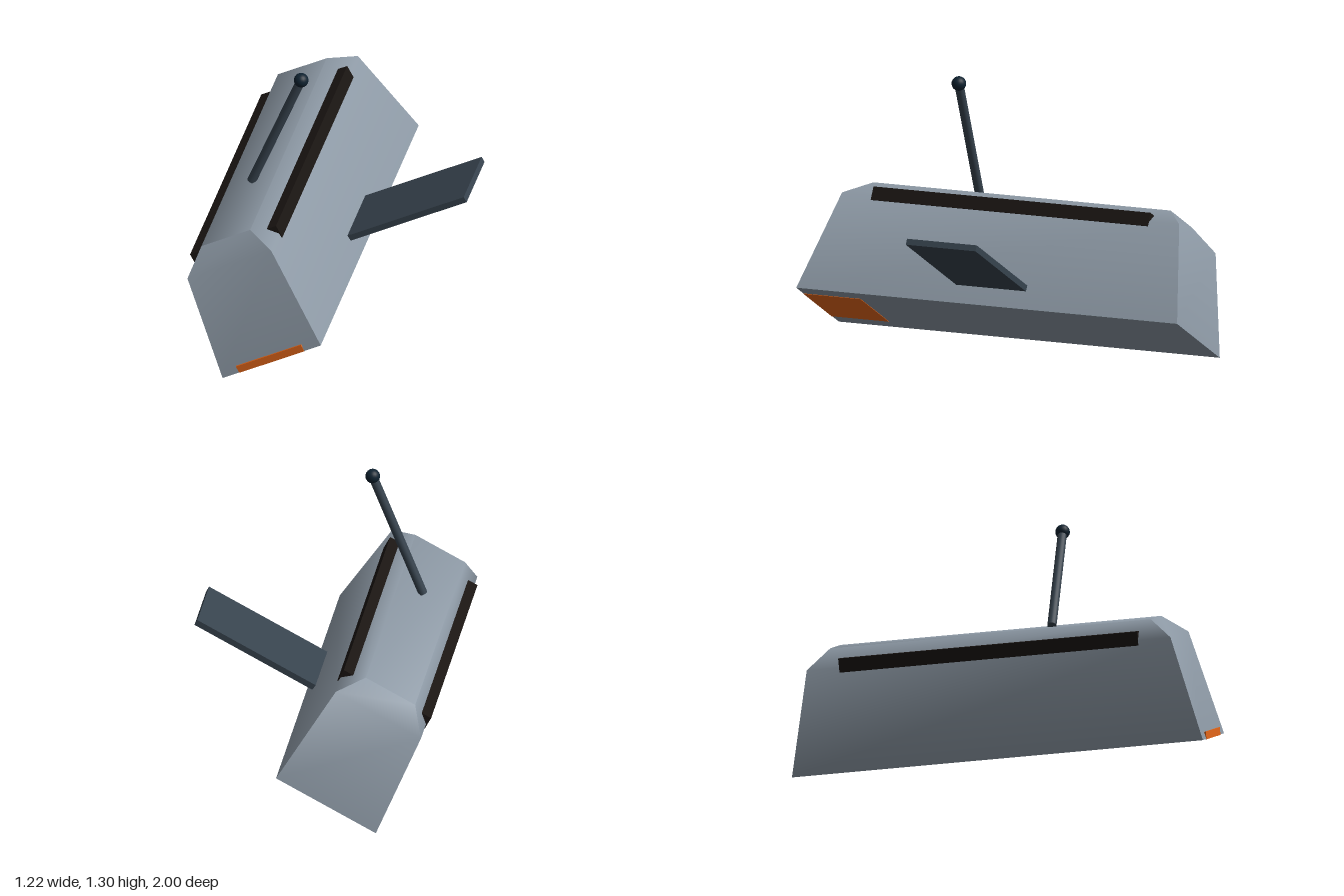
import * as THREE from 'three';
import { toCreasedNormals } from 'three/addons/utils/BufferGeometryUtils.js';

const material = (color) => new THREE.MeshStandardMaterial({ color });
const shell = material(0x8d99a5);
const black = material(0x1a1512);
const slate = material(0x37434e);
const navy = material(0x0f2230);
const orange = material(0xe8681a);

function addMesh(parent, name, geometry, mat, x = 0, y = 0, z = 0) {
  const mesh = new THREE.Mesh(geometry, mat);
  mesh.name = name;
  mesh.position.set(x, y, z);
  parent.add(mesh);
  return mesh;
}

// Stack of rectangles [y, halfWidth, halfLength], skinned and capped
function stackedBody(levels) {
  const points = [];
  const index = [];
  for (const [y, w, l] of levels) points.push(-w, y, l, w, y, l, w, y, -l, -w, y, -l);
  for (let k = 0; k < levels.length - 1; k++) {
    for (let i = 0; i < 4; i++) {
      const a = k * 4 + i;
      const b = k * 4 + ((i + 1) % 4);
      index.push(a, b, b + 4, a, b + 4, a + 4);
    }
  }
  const t = (levels.length - 1) * 4;
  index.push(0, 2, 1, 0, 3, 2, t, t + 1, t + 2, t, t + 2, t + 3);
  const geometry = new THREE.BufferGeometry();
  geometry.setAttribute('position', new THREE.Float32BufferAttribute(points, 3));
  geometry.setIndex(index);
  return toCreasedNormals(geometry, 0.8);
}

export function createModel() {
  const model = new THREE.Group();
  model.name = 'model';

  // Everything but the antenna shares the tilt of the body
  const tilted = new THREE.Group();
  tilted.name = 'tiltedBody';
  tilted.position.set(-0.15, 0.13, 0);
  tilted.rotation.z = THREE.MathUtils.degToRad(28);
  model.add(tilted);

  // Main body with chamfered top
  addMesh(tilted, 'body', stackedBody([
    [0, 0.272, 1],
    [0.5, 0.232, 0.885],
    [0.59, 0.135, 0.78],
  ]), shell);

  // Dark rails along both upper edges
  for (const side of [-1, 1]) {
    addMesh(tilted, side > 0 ? 'leftRail' : 'rightRail',
      new THREE.BoxGeometry(0.058, 0.067, 1.454), black, side * 0.209, 0.5085, 0);
  }

  // Side panel
  addMesh(tilted, 'sidePanel', new THREE.BoxGeometry(0.647, 0.03, 0.366), slate, 0.5835, 0.106, 0);

  // Orange block set into the bottom at the front
  addMesh(tilted, 'frontInsert', new THREE.BoxGeometry(0.36, 0.037, 0.3), orange, 0, 0.0165, 0.85);

  // Antenna rod with ball tip
  const base = new THREE.Vector3(-0.422, 0.66, 0.272);
  const tip = new THREE.Vector3(-0.18, 1.263, 0.272);
  const along = tip.clone().sub(base);
  const middle = base.clone().add(tip).multiplyScalar(0.5);
  const rod = addMesh(model, 'antennaRod',
    new THREE.CylinderGeometry(0.022, 0.022, along.length(), 16), slate, ...middle.toArray());
  rod.quaternion.setFromUnitVectors(new THREE.Vector3(0, 1, 0), along.normalize());
  addMesh(model, 'antennaTip', new THREE.SphereGeometry(0.035, 20, 14), navy, ...tip.toArray());

  return model;
}
